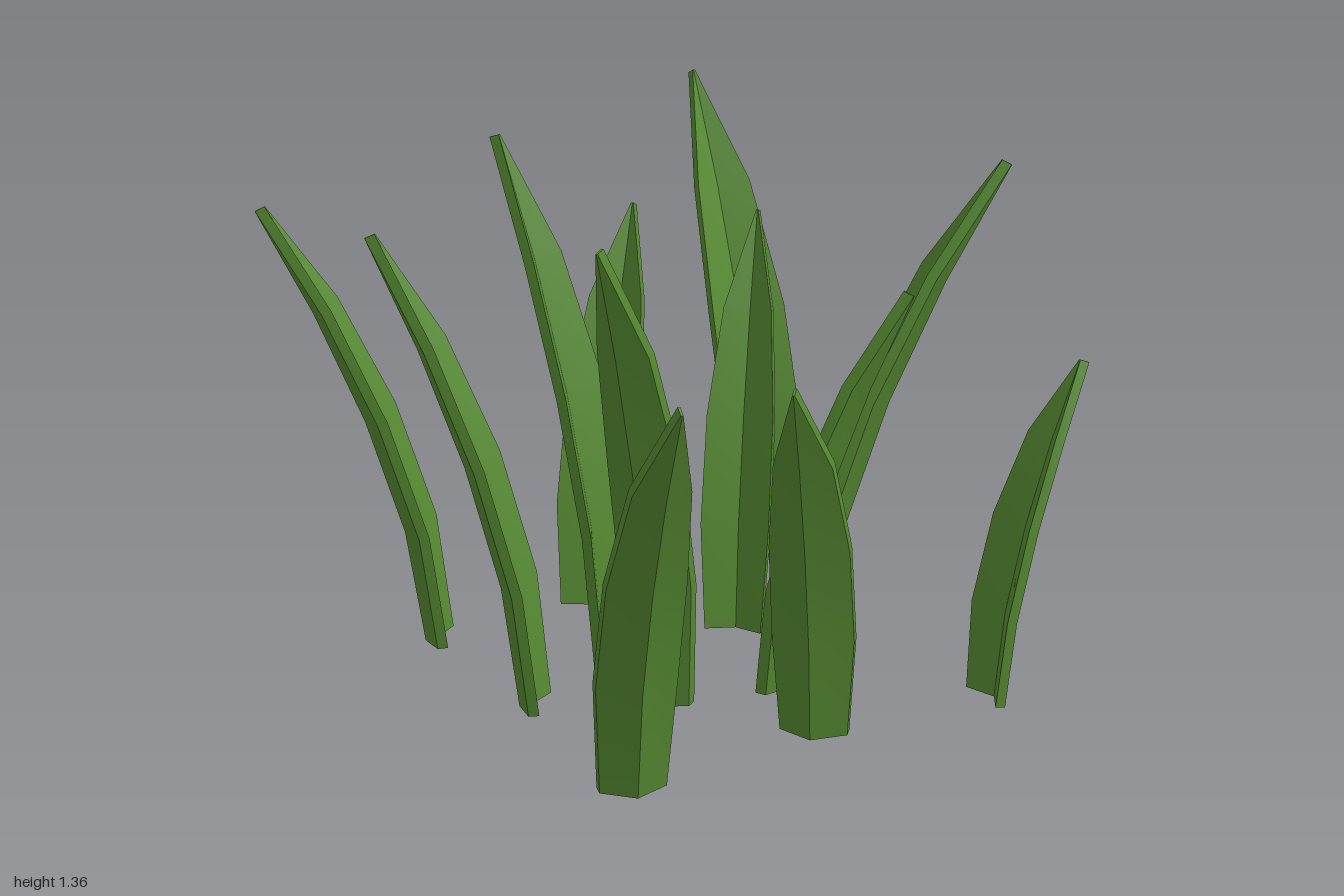
import * as THREE from 'three';
import { toCreasedNormals } from 'three/addons/utils/BufferGeometryUtils.js';

// One row per blade: base x, base z, tip x, tip z, tip height, width, base height
const BLADES = [
  [-0.405, -0.455, -0.80, -0.705, 1.175, 0.19, 0.025],
  [0.005, -0.44, 0.27, -0.65, 1.07, 0.21, 0.03],
  [0.625, -0.515, 0.65, -1.00, 1.33, 0.23, 0.025],
  [-0.12, -0.075, -0.315, -0.36, 1.37, 0.215, 0.035],
  [0.225, -0.085, 0.42, -0.275, 1.11, 0.18, 0.04],
  [-0.415, 0.07, -0.74, -0.20, 1.205, 0.185, 0.025],
  [0.355, 0.02, 0.80, 0.29, 1.30, 0.21, 0.013],
  [-0.145, 0.19, -0.42, 0.35, 1.24, 0.2, 0.035],
  [0.105, 0.255, 0.34, 0.53, 1.08, 0.18, 0.04],
  [-0.475, 0.585, -0.58, 0.99, 1.055, 0.195, 0.022],
  [0.07, 0.54, -0.15, 0.76, 0.97, 0.2, 0.03],
  [0.53, 0.585, 0.80, 0.62, 0.87, 0.18, 0.025],
];

const RISE = [0, 0.26, 0.52, 0.77, 1];          // height of each ring
const WIDTH = [0.83, 1, 0.97, 0.7, 0.03];       // relative width of each ring
const THICK = 0.027;
const FOLD = 0.5;                               // depth of the V per half width

// A folded, outward-bending blade with a V cross-section
function bladeGeometry([bx, bz, tx, tz, height, width, baseY]) {
  const up = new THREE.Vector3(0, 1, 0);
  const out = new THREE.Vector3(tx - bx, 0, tz - bz);
  const fold0 = FOLD * width * WIDTH[0] / 2;
  const reach = out.length() - fold0 - THICK * 0.9;
  out.normalize();
  const side = new THREE.Vector3().crossVectors(up, out);
  const root = new THREE.Vector3(bx, baseY, bz).addScaledVector(out, fold0);

  const spine = RISE.map((r) => root.clone()
    .addScaledVector(up, r * (height - baseY))
    .addScaledVector(out, reach * Math.pow(r, 1.6)));

  const position = [];
  spine.forEach((p, i) => {
    const tangent = spine[Math.min(i + 1, 4)].clone().sub(spine[Math.max(i - 1, 0)]).normalize();
    const normal = new THREE.Vector3().crossVectors(tangent, side).negate();
    const w = width * WIDTH[i] / 2;
    const d = -w * FOLD;
    // inner left, crease, inner right, outer right, keel, outer left
    const ring = [[-w, d], [0, 0], [w, d], [w, d + THICK], [0, THICK], [-w, d + THICK]];
    for (const [s, n] of ring) {
      const v = p.clone().addScaledVector(side, s).addScaledVector(normal, n);
      position.push(v.x, v.y, v.z);
    }
  });

  const index = [];
  const quad = (a, b, c, d) => index.push(a, b, c, a, c, d);
  for (let i = 0; i < 4; i++) {
    for (let j = 0; j < 6; j++) {
      const a = i * 6 + j, b = i * 6 + (j + 1) % 6;
      quad(a, a + 6, b + 6, b);
    }
  }
  // End caps
  quad(0, 1, 4, 5);
  quad(1, 2, 3, 4);
  quad(29, 28, 25, 24);
  quad(28, 27, 26, 25);

  const geometry = new THREE.BufferGeometry();
  geometry.setAttribute('position', new THREE.Float32BufferAttribute(position, 3));
  geometry.setIndex(index);
  return toCreasedNormals(geometry, 0.6);
}

export function createModel() {
  const group = new THREE.Group();
  group.name = 'grassTuft';
  const green = new THREE.MeshStandardMaterial({ color: 0x568a32 });
  BLADES.forEach((blade, i) => {
    const mesh = new THREE.Mesh(bladeGeometry(blade), green);
    mesh.name = `grassBlade${i + 1}`;
    group.add(mesh);
  });
  return group;
}
